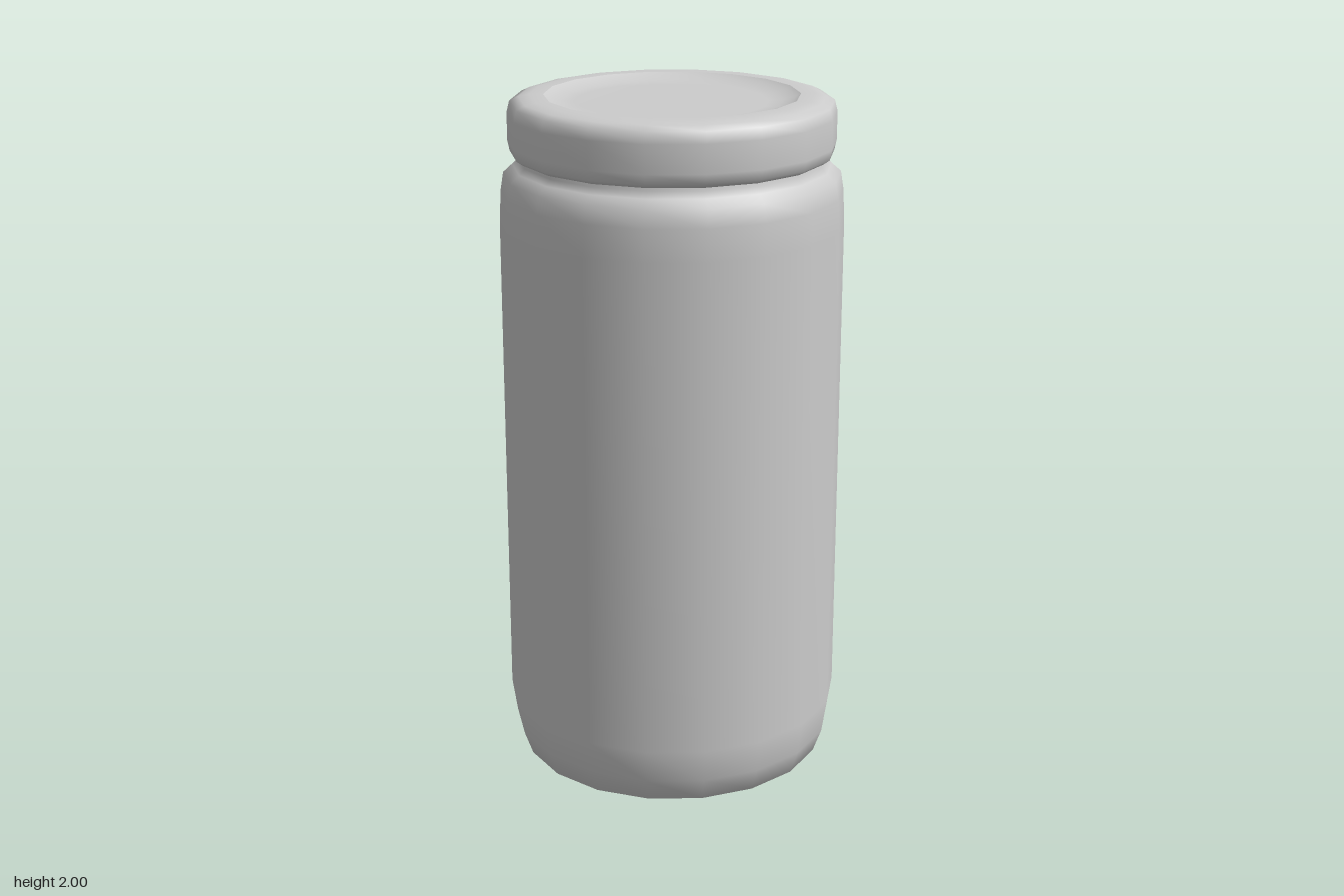
import * as THREE from 'three';

const SIDES = 18;

export function createModel() {
  const jar = new THREE.Group();
  jar.name = 'jar';
  const grey = new THREE.MeshStandardMaterial({ color: 0xcccccc });
  grey.name = 'light grey';

  // Turns a profile of [radius, height] points, bottom to top, with a corner on the x axis
  function turned(name, profile) {
    const points = profile.map(([r, y]) => new THREE.Vector2(r, y));
    const geometry = new THREE.LatheGeometry(points, SIDES, Math.PI / 2);
    const mesh = new THREE.Mesh(geometry, grey);
    mesh.name = name;
    jar.add(mesh);
  }

  // Tall body with rounded base, rounded shoulder and narrow neck
  turned('body', [
    [0, 0.005], [0.38, 0.005], [0.41, 0.01], [0.45, 0.03], [0.475, 0.1], [0.49, 0.2],
    [0.49, 1.64], [0.485, 1.73], [0.477, 1.78], [0.45, 1.803], [0.435, 1.82], [0.435, 1.86],
  ]);

  // Screw lid: closed underside, rounded rim
  turned('lid', [
    [0, 1.835], [0.425, 1.835], [0.44, 1.83], [0.457, 1.842], [0.463, 1.87],
    [0.463, 1.95], [0.455, 1.982], [0.43, 1.994], [0.4, 2], [0.36, 2],
  ]);

  // Shallow recessed panel in the lid top
  turned('lidPanel', [
    [0.36, 2], [0.345, 1.992], [0.31, 1.982], [0.27, 1.98], [0, 1.98],
  ]);

  return jar;
}
